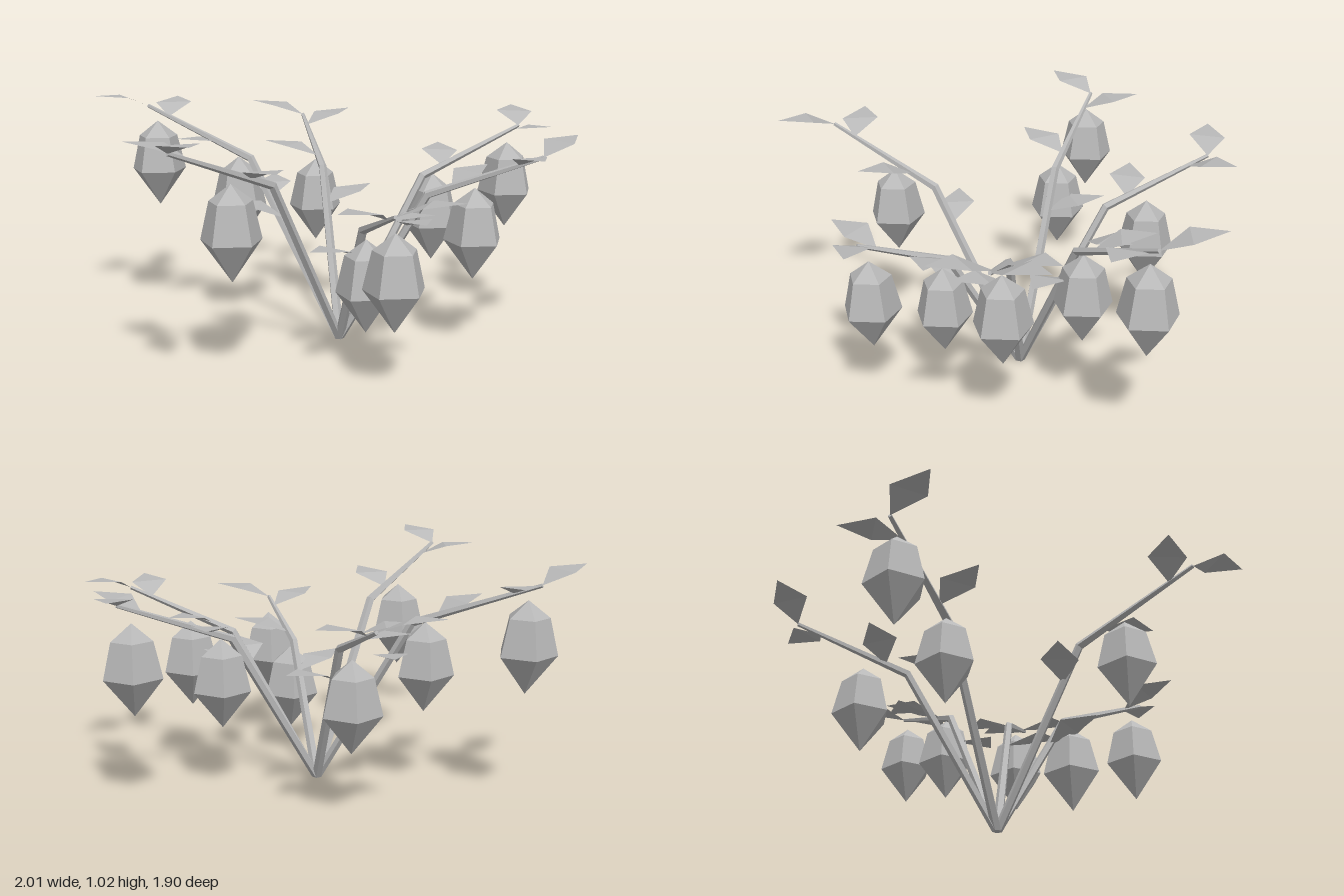
import * as THREE from 'three';

const V = (x, y, z) => new THREE.Vector3(x, y, z);
const UP = V(0, 1, 0);
const ROOT = V(-0.04, 0, 0.09);

// Each branch: elbow, tip and the waist centres of the fruits hanging from it
const BRANCHES = [
  { elbow: V(0.37, 0.69, 0.07), tip: V(0.87, 0.88, 0.05), fruits: [V(0.815, 0.58, 0.045), V(0.42, 0.47, 0.07)] },
  { elbow: V(0.26, 0.66, 0.32), tip: V(0.63, 0.84, 0.62), fruits: [V(0.415, 0.475, 0.445)] },
  { elbow: V(-0.08, 0.56, 0.41), tip: V(-0.13, 0.70, 0.80), fruits: [V(-0.11, 0.405, 0.763), V(-0.08, 0.305, 0.445)] },
  { elbow: V(-0.42, 0.75, 0.29), tip: V(-0.91, 0.95, 0.54), fruits: [V(-0.625, 0.565, 0.385)] },
  { elbow: V(-0.31, 0.76, -0.27), tip: V(-0.65, 0.96, -0.70), fruits: [V(-0.62, 0.67, -0.655), V(-0.35, 0.54, -0.31)] },
  { elbow: V(0.05, 0.69, -0.30), tip: V(0.15, 0.865, -0.78), fruits: [V(0.095, 0.468, -0.49)] },
];

// Leaf stations: share of the branch's horizontal reach, and side of the branch
const LEAVES = [[0.35, 1], [0.56, -1], [0.885, 1], [1, -1]];

// Tapered five-sided branch with a mitred elbow
function branchGeometry(points, radii) {
  const geo = new THREE.CylinderGeometry(1, 1, 1, 5, 2);
  const pos = geo.attributes.position;
  const first = points[1].clone().sub(points[0]).normalize();
  const last = points[2].clone().sub(points[1]).normalize();
  const tangents = [UP, first.clone().add(last).normalize(), last];
  const turns = tangents.map(t => new THREE.Quaternion().setFromUnitVectors(UP, t));
  for (let i = 0; i < pos.count; i++) {
    const ring = Math.round((pos.getY(i) + 0.5) * 2);
    const p = V(pos.getX(i), 0, pos.getZ(i)).multiplyScalar(radii[ring]);
    p.applyQuaternion(turns[ring]).add(points[ring]);
    pos.setXYZ(i, p.x, p.y, p.z);
  }
  geo.computeVertexNormals();
  return geo;
}

// Point on the bent branch at a share of its horizontal reach
function pointOnBranch({ elbow, tip }, share) {
  const reach = p => Math.hypot(p.x - ROOT.x, p.z - ROOT.z);
  const bend = reach(elbow) / reach(tip);
  return share < bend
    ? ROOT.clone().lerp(elbow, share / bend)
    : elbow.clone().lerp(tip, (share - bend) / (1 - bend));
}

// Four-cornered leaf, creased across its widest line
function leafGeometry(base, along, side) {
  const across = V(-along.z, 0, along.x).multiplyScalar(side);
  const corner = (a, c, y) => base.clone().addScaledVector(along, a).addScaledVector(across, c).addScaledVector(UP, y);
  const corners = [base, corner(0.115, 0.06, 0.05), corner(0.12, 0.235, 0.062), corner(-0.015, 0.155, 0.052)];
  const geo = new THREE.BufferGeometry().setFromPoints(corners);
  geo.setIndex(side > 0 ? [0, 3, 1, 1, 3, 2] : [0, 1, 3, 1, 2, 3]);
  geo.computeVertexNormals();
  return geo;
}

export function createModel() {
  const model = new THREE.Group();
  model.name = 'fruitingPlant';
  const grey = new THREE.MeshStandardMaterial({ color: 0xb8b8b8, flatShading: true, side: THREE.DoubleSide });
  grey.name = 'plainGrey';

  // Five-sided fruit: pointed base, wide waist, shoulder and pointed top
  const fruitProfile = [[0, -0.165], [0.127, 0], [0.09, 0.155], [0, 0.225]].map(p => new THREE.Vector2(...p));
  const fruitGeo = new THREE.LatheGeometry(fruitProfile, 5).rotateY(Math.PI / 2);

  const add = (parent, geo, name) => {
    const mesh = new THREE.Mesh(geo, grey);
    mesh.name = name;
    parent.add(mesh);
    return mesh;
  };

  for (const branch of BRANCHES) {
    const group = new THREE.Group();
    group.name = 'branchWithFruit';
    model.add(group);
    add(group, branchGeometry([ROOT, branch.elbow, branch.tip], [0.022, 0.019, 0.009]), 'branch');

    const along = branch.tip.clone().sub(ROOT).setY(0).normalize();
    for (const [share, side] of LEAVES) {
      add(group, leafGeometry(pointOnBranch(branch, share), along, side), 'leaf');
    }
    for (const waist of branch.fruits) add(group, fruitGeo, 'fruit').position.copy(waist);
  }
  return model;
}
